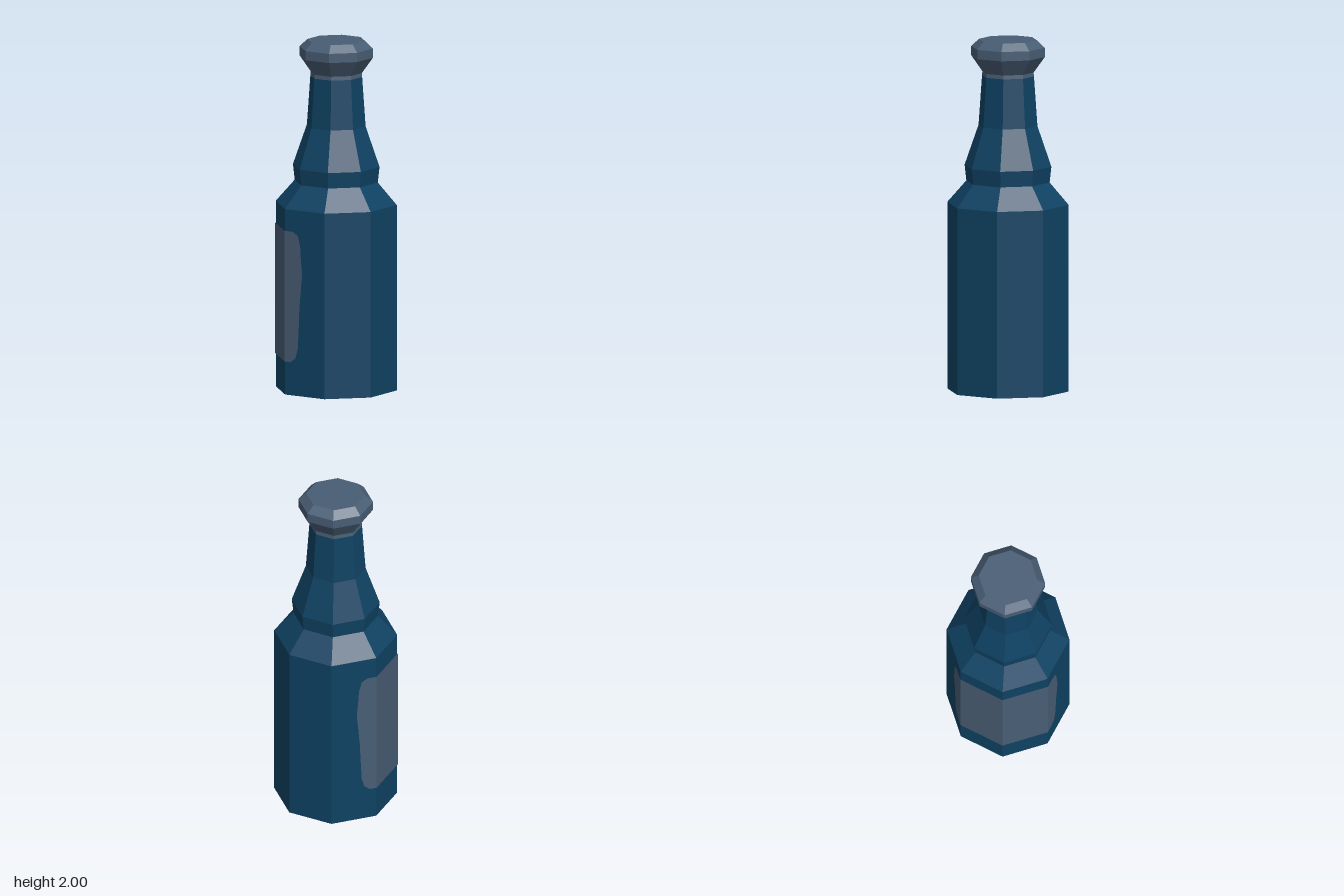
import * as THREE from 'three';

const SIDES = 8;
const RADIUS = 0.348;

// Eight-sided turned part with crisp facets
function turned(name, profile, material) {
  const points = profile.map(([r, y]) => new THREE.Vector2(r, y));
  const geometry = new THREE.LatheGeometry(points, SIDES).toNonIndexed();
  geometry.computeVertexNormals();
  const mesh = new THREE.Mesh(geometry, material);
  mesh.name = name;
  return mesh;
}

// Flat label piece lying just above one facet of the body
function labelPiece(name, outline, degrees, material) {
  const r = RADIUS + 0.003;
  const width = 2 * r * Math.sin(Math.PI / SIDES);
  const points = outline.map(([u, y]) => new THREE.Vector2((u - 0.5) * width, y));
  const geometry = new THREE.ShapeGeometry(new THREE.Shape(points));
  geometry.translate(0, 0, r * Math.cos(Math.PI / SIDES));
  geometry.rotateY(THREE.MathUtils.degToRad(degrees));
  const mesh = new THREE.Mesh(geometry, material);
  mesh.name = name;
  return mesh;
}

export function createModel() {
  const group = new THREE.Group();
  group.name = 'bottle';
  const glass = new THREE.MeshStandardMaterial({ color: 0x0f4263 });
  glass.name = 'blue glass';
  const grey = new THREE.MeshStandardMaterial({ color: 0x485d74 });
  grey.name = 'slate grey';

  // Body, shoulder and neck
  group.add(turned('bottleBody', [
    [0, 0], [RADIUS, 0], [RADIUS, 1.065], [0.239, 1.19],
    [0.249, 1.28], [0.169, 1.51], [0.149, 1.793],
  ], glass));

  // Collar and flared cap
  group.add(turned('cap', [
    [0.149, 1.793], [0.147, 1.815], [0.211, 1.905],
    [0.211, 1.958], [0.166, 2], [0, 2],
  ], grey));

  // Label wrapped around the -x side: two full facets and two wavy ends
  const full = [[0, 0.19], [1, 0.19], [1, 0.94], [0, 0.94]];
  const end = [
    [0, 0.19], [0.15, 0.19], [0.27, 0.215], [0.33, 0.27], [0.355, 0.4],
    [0.37, 0.5], [0.41, 0.62], [0.44, 0.7], [0.41, 0.78], [0.39, 0.86],
    [0.33, 0.92], [0.2, 0.94], [0, 0.94],
  ];
  const mirrored = end.map(([u, y]) => [1 - u, y]);
  const label = new THREE.Group();
  label.name = 'label';
  label.add(
    labelPiece('labelFrontEnd', end, -22.5, grey),
    labelPiece('labelFrontPanel', full, -67.5, grey),
    labelPiece('labelBackPanel', full, -112.5, grey),
    labelPiece('labelBackEnd', mirrored, -157.5, grey),
  );
  group.add(label);
  return group;
}
